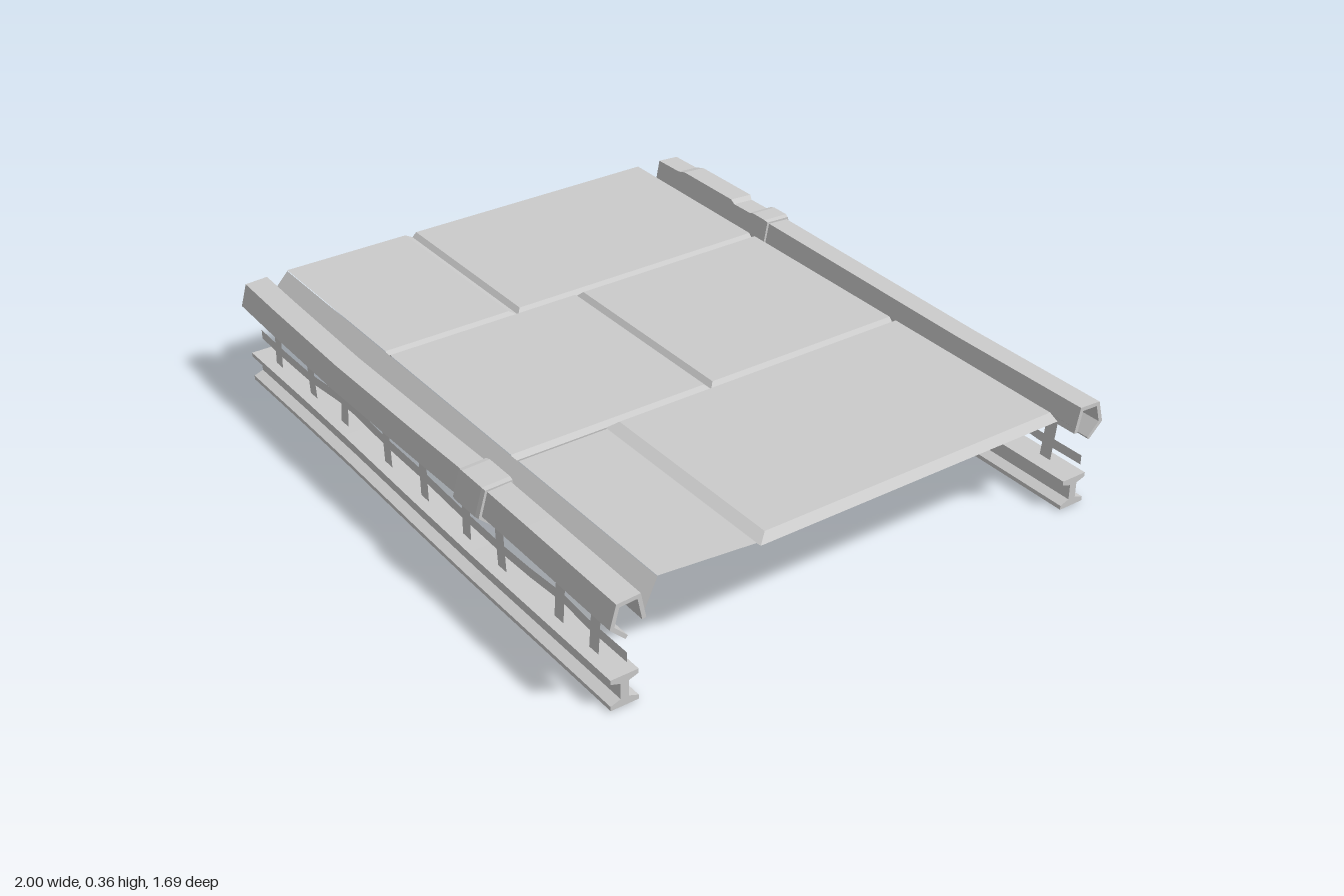
import * as THREE from 'three';

const metal = new THREE.MeshStandardMaterial({ color: 0xcccccc, flatShading: true });
const sheet = new THREE.MeshStandardMaterial({ color: 0xcccccc, flatShading: true, side: THREE.DoubleSide });

function makeMesh(name, pos, idx, material) {
  let geo = new THREE.BufferGeometry();
  geo.setAttribute('position', new THREE.Float32BufferAttribute(pos, 3));
  geo.setIndex(idx);
  geo = geo.toNonIndexed();
  geo.computeVertexNormals();
  const mesh = new THREE.Mesh(geo, material);
  mesh.name = name;
  return mesh;
}

// Sweep a closed [z, y] section along x; stations are [x, dz, dy, grow].
function loft(name, section, stations, side) {
  let ring = section.map(([z, y]) => new THREE.Vector2(z * side, y));
  if (THREE.ShapeUtils.isClockWise(ring)) ring = ring.reverse();
  const n = ring.length, pos = [], idx = [];
  const c = new THREE.Box2().setFromPoints(ring).getCenter(new THREE.Vector2());
  for (const [x, dz = 0, dy = 0, g = 1] of stations) {
    for (const p of ring) pos.push(x, c.y + (p.y - c.y) * g + dy, c.x + (p.x - c.x) * g + dz * side);
  }
  for (let s = 0; s < stations.length - 1; s++) {
    for (let i = 0; i < n; i++) {
      const a = s * n + i, b = s * n + (i + 1) % n;
      idx.push(a, a + n, b + n, a, b + n, b);
    }
  }
  const end = (stations.length - 1) * n;
  for (const [a, b, d] of THREE.ShapeUtils.triangulateShape(ring, [])) {
    idx.push(a, b, d, end + a, end + d, end + b);
  }
  return makeMesh(name, pos, idx, metal);
}

// Flat strip at constant z, through [x, yLow, yHigh] columns.
function strip(name, columns, z) {
  const pos = [], idx = [];
  columns.forEach(([x, lo, hi, lean = 0], i) => {
    pos.push(x, lo, z, x + lean, hi, z);
    if (i) idx.push(2 * i - 2, 2 * i, 2 * i + 1, 2 * i - 2, 2 * i + 1, 2 * i - 1);
  });
  return makeMesh(name, pos, idx, sheet);
}

// Deck plate whose edges can slope down into the seams.
const TOP = 0.352, LOW = 0.338;
function panel(x0, x1, z0, z1, [l, r, b, f], x1Front = x1) {
  const pos = [
    x0, l || b ? LOW : TOP, z0, x1, r || b ? LOW : TOP, z0,
    x1Front, r || f ? LOW : TOP, z1, x0, l || f ? LOW : TOP, z1,
    x0 + l, TOP, z0 + b, x1 - r, TOP, z0 + b, x1Front - r, TOP, z1 - f, x0 + l, TOP, z1 - f,
  ];
  const idx = [4, 7, 6, 4, 6, 5];
  [l + 0, r, b, f].forEach((w, k) => {
    if (!w) return;
    const [a, d] = [[3, 0], [1, 2], [0, 1], [2, 3]][k];
    idx.push(a, a + 4, d + 4, a, d + 4, d);
  });
  return makeMesh('deckPanel', pos, idx, sheet);
}

// Sloping skirt between the deck and a rail.
function apron(zIn, zOut, xIn) {
  const idx = zOut > 0 ? [0, 2, 3, 0, 3, 1] : [0, 3, 2, 0, 1, 3];
  return makeMesh('deckApron', [-1, 0.349, zIn, xIn, 0.349, zIn, -1, 0.28, zOut, 1, 0.28, zOut], idx, sheet);
}

// Bent sheet section of the handrail and a slightly larger one for its collars
const railSection = [
  [0.785, 0.232], [0.831, 0.277], [0.811, 0.346], [0.739, 0.350], [0.723, 0.272],
  [0.735, 0.270], [0.749, 0.337], [0.802, 0.334], [0.817, 0.280], [0.778, 0.241],
];
const collarSection = [
  [0.785, 0.222], [0.842, 0.274], [0.818, 0.354], [0.733, 0.357], [0.715, 0.266],
  [0.726, 0.264], [0.741, 0.344], [0.808, 0.342], [0.826, 0.278], [0.778, 0.233],
];
const beamSection = [
  [0.730, 0.000], [0.815, 0.000], [0.815, 0.013], [0.785, 0.024], [0.785, 0.072], [0.815, 0.082],
  [0.815, 0.095], [0.730, 0.095], [0.730, 0.082], [0.760, 0.072], [0.760, 0.024], [0.730, 0.013],
];

const frontRail = [[-1], [-0.8, 0.005, 0], [-0.4, 0.009, -0.002], [0, 0.005, 0], [0.3, 0, 0.002], [0.6, 0, 0], [1, 0.001, -0.003]];
const backRail = [[-1], [-0.89, 0.003, 0], [-0.86, 0.008, 0.003, 1.08], [-0.6, 0.008, 0.003, 1.1], [-0.58, 0.002, 0],
  [-0.4, 0.006, 0], [0, 0.001, 0], [0.5, -0.003, -0.002], [1, 0, 0]];
const beamPath = [[-1, 0, 0.012], [-0.65, 0, 0.014], [-0.4, 0, 0.013], [0, 0, 0.004], [0.3, 0, 0], [0.5, 0, 0.001], [0.975, 0, 0.003]];

// Posts: [x at foot, lean of the top]
const posts = [[-0.88, 0.01], [-0.65, -0.015], [-0.46, 0.02], [-0.195, -0.008], [0.01, -0.003],
  [0.235, 0.004], [0.417, -0.012], [0.69, 0.015], [0.85, 0.015]];
const midBar = [[-1, 0.160], [-0.85, 0.156], [-0.67, 0.158], [-0.5, 0.178], [-0.4, 0.180], [-0.2, 0.168],
  [0, 0.166], [0.2, 0.156], [0.4, 0.153], [0.55, 0.158], [0.7, 0.170], [0.82, 0.160], [0.99, 0.162]];

function railing(side) {
  const g = new THREE.Group();
  g.name = side > 0 ? 'frontRailing' : 'backRailing';
  g.add(loft('handrail', railSection, side > 0 ? frontRail : backRail, side));
  const collar = side > 0
    ? [[0.28, 0, 0, 0.98], [0.295, 0, 0, 1.02], [0.395, 0, 0, 1.02], [0.41, 0, 0, 0.98]]
    : [[-0.49, 0.004, 0, 0.98], [-0.475, 0.006, 0, 1.03], [-0.415, 0.006, 0, 1.03], [-0.4, 0.004, 0, 0.98]];
  g.add(loft('railCollar', collarSection, collar, side));
  g.add(loft('lowerBeam', beamSection, beamPath, side));
  for (const [x, lean] of posts) {
    g.add(strip('post', [[x - 0.021, 0.09, 0.242, lean], [x + 0.021, 0.09, 0.242, lean]], 0.78 * side));
  }
  g.add(strip('middleBar', midBar.map(([x, y]) => [x, y - 0.015, y + 0.015]), 0.775 * side));
  return g;
}

export function createModel() {
  const model = new THREE.Group();
  model.name = 'walkway';

  // Deck: three columns, each split by one cross seam
  const deck = new THREE.Group();
  deck.name = 'deck';
  const B = -0.65, F = 0.67, w = 0.014;
  deck.add(
    panel(-1, -0.367, B, 0.228, [0, w, 0, w]),
    panel(-1, -0.367, 0.228, F, [0, w, 0.025, 0]),
    panel(-0.367, 0.314, B, 0.018, [w, w, 0, w]),
    panel(-0.367, 0.314, 0.018, F, [w, w, 0.018, 0]),
    panel(0.314, 1, B, 0.375, [w, 0.03, 0, 0.035]),
    panel(0.314, 1, 0.375, F, [0.025, 0, w, 0], 0.97),
    apron(F, 0.735, 0.97),
    apron(B, -0.735, 1),
  );
  model.add(deck, railing(1), railing(-1));
  return model;
}
